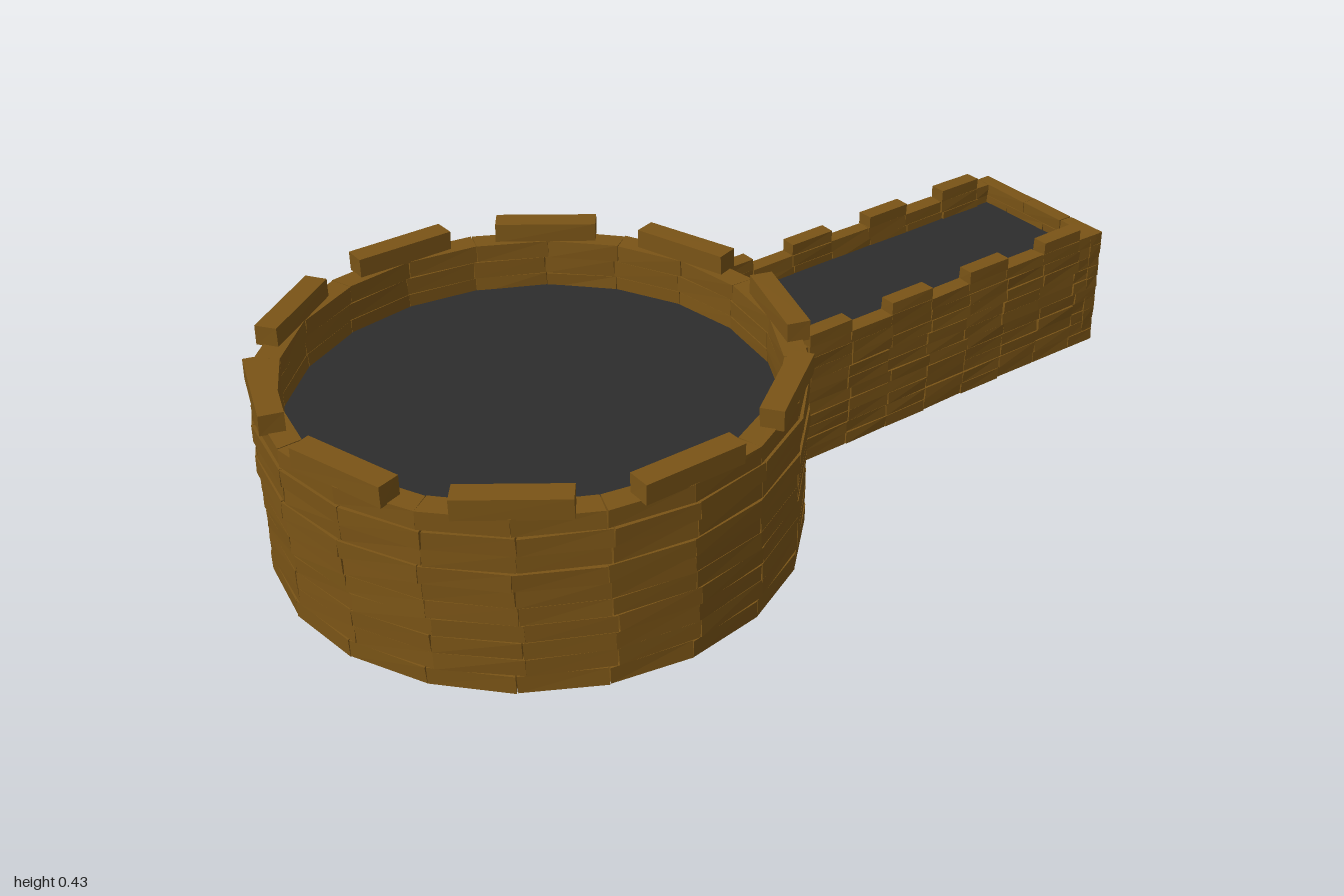
import * as THREE from 'three';
import { mergeGeometries } from 'three/addons/utils/BufferGeometryUtils.js';

const TOWER_Z = 0.443;

export function createModel() {
  const model = new THREE.Group();
  const brick = new THREE.MeshStandardMaterial({ color: 0x7a5416, flatShading: true });
  const slab = new THREE.MeshStandardMaterial({ color: 0x2d2d2d });

  let seed = 7;
  const rand = (amount) => {
    seed = (seed * 16807) % 2147483647;
    return (seed / 2147483647 - 0.5) * 2 * amount;
  };

  // A six-sided stone: place(u, v, w) maps each corner (-1 or 1) to a point, then roughens it.
  function stone(place, rough = 0.0015) {
    const geo = new THREE.BoxGeometry(2, 2, 2);
    const offsets = Array.from({ length: 8 }, () => new THREE.Vector3(rand(rough), rand(rough * 0.4), rand(rough)));
    const pos = geo.attributes.position;
    for (let i = 0; i < pos.count; i++) {
      const u = pos.getX(i), v = pos.getY(i), w = pos.getZ(i);
      const k = (u > 0 ? 1 : 0) + (v > 0 ? 2 : 0) + (w > 0 ? 4 : 0);
      const p = place(u, v, w).add(offsets[k]);
      pos.setXYZ(i, p.x, p.y, p.z);
    }
    return geo;
  }

  const boxStone = (x0, x1, y0, y1, z0, z1, rough) => stone((u, v, w) =>
    new THREE.Vector3(u < 0 ? x0 : x1, v < 0 ? y0 : y1, w < 0 ? z0 : z1), rough);

  function add(parent, name, geo, mat) {
    const mesh = new THREE.Mesh(geo, mat);
    mesh.name = name;
    parent.add(mesh);
    return mesh;
  }

  // Round tower: ten courses of twenty flat-faced stones
  const tower = new THREE.Group();
  tower.name = 'roundTower';
  tower.position.z = TOWER_Z;
  model.add(tower);
  const SIDES = 20, COURSES = 10, COURSE = 0.0393;
  for (let c = 0; c < COURSES; c++) {
    const stones = [];
    const turn = rand(0.02);
    const bulge = c === 6 || c === 8 ? 0.005 : 0;
    for (let s = 0; s < SIDES; s++) {
      const mid = (s + 0.5) * Math.PI * 2 / SIDES + turn;
      const half = Math.PI / SIDES - 0.0012;
      stones.push(stone((u, v, w) => {
        const r = w > 0 ? 0.551 + bulge : 0.5;
        const a = mid + u * half;
        return new THREE.Vector3(Math.sin(a) * r, (c + 0.5 + v * 0.49) * COURSE, Math.cos(a) * r);
      }));
    }
    add(tower, 'towerCourse', mergeGeometries(stones), brick);
  }

  // Ten merlons around the tower rim
  for (let m = 0; m < 10; m++) {
    const merlon = add(tower, 'towerMerlon', boxStone(-0.11, 0.11, 0.39, 0.434, 0.5, 0.549, 0.001), brick);
    merlon.rotation.y = Math.PI / 2 + m * Math.PI / 5;
  }

  // Tower floor
  const floor = add(tower, 'towerFloor', new THREE.CylinderGeometry(0.505, 0.505, 0.015, 40), slab);
  floor.position.y = 0.277;

  // Straight passage behind the tower
  const passage = new THREE.Group();
  passage.name = 'passage';
  model.add(passage);
  const BASE = 0.02, ROW = 0.0285, LENGTH = 0.115;

  for (const side of [-1, 1]) {
    const name = side > 0 ? 'leftPassage' : 'rightPassage';
    const xIn = side * 0.152, xOut = side * 0.188;
    const x0 = Math.min(xIn, xOut), x1 = Math.max(xIn, xOut);
    const stones = [];
    for (let c = 0; c < 10; c++) {
      const y0 = BASE + c * ROW;
      const shift = rand(0.006);
      for (let s = 0; s < 9; s++) {
        const front = s === 0 ? -0.05 : -0.005 - s * LENGTH + shift;
        const back = s === 8 ? -0.998 : -0.005 - (s + 1) * LENGTH + shift;
        const push = rand(0.002);
        stones.push(boxStone(x0 + push, x1 + push, y0 + 0.0004, y0 + ROW - 0.0004, back + 0.001, front - 0.001));
      }
    }
    add(passage, name + 'Wall', mergeGeometries(stones), brick);

    // Merlons on every second stone
    for (let m = 0; m < 4; m++) {
      const front = -0.12 - m * LENGTH * 2;
      add(passage, name + 'Merlon', boxStone(x0, x1, 0.303, 0.332, front - LENGTH, front, 0.001), brick);
    }
  }

  // End wall, three stones per course with alternating joints
  const endStones = [];
  for (let c = 0; c < 10; c++) {
    const y0 = BASE + c * ROW;
    const shift = (c % 2 ? 0.025 : -0.025) + rand(0.006);
    const joints = [-0.19, -0.06 + shift, 0.06 + shift, 0.19];
    for (let s = 0; s < 3; s++) {
      endStones.push(boxStone(joints[s] + 0.001, joints[s + 1] - 0.001,
        y0 + 0.0004, y0 + ROW - 0.0004, -0.999, -0.964));
    }
  }
  add(passage, 'passageEndWall', mergeGeometries(endStones), brick);

  // Passage floor
  const deck = add(passage, 'passageFloor', new THREE.BoxGeometry(0.31, 0.015, 0.92), slab);
  deck.position.set(0, 0.25, -0.51);

  return model;
}
